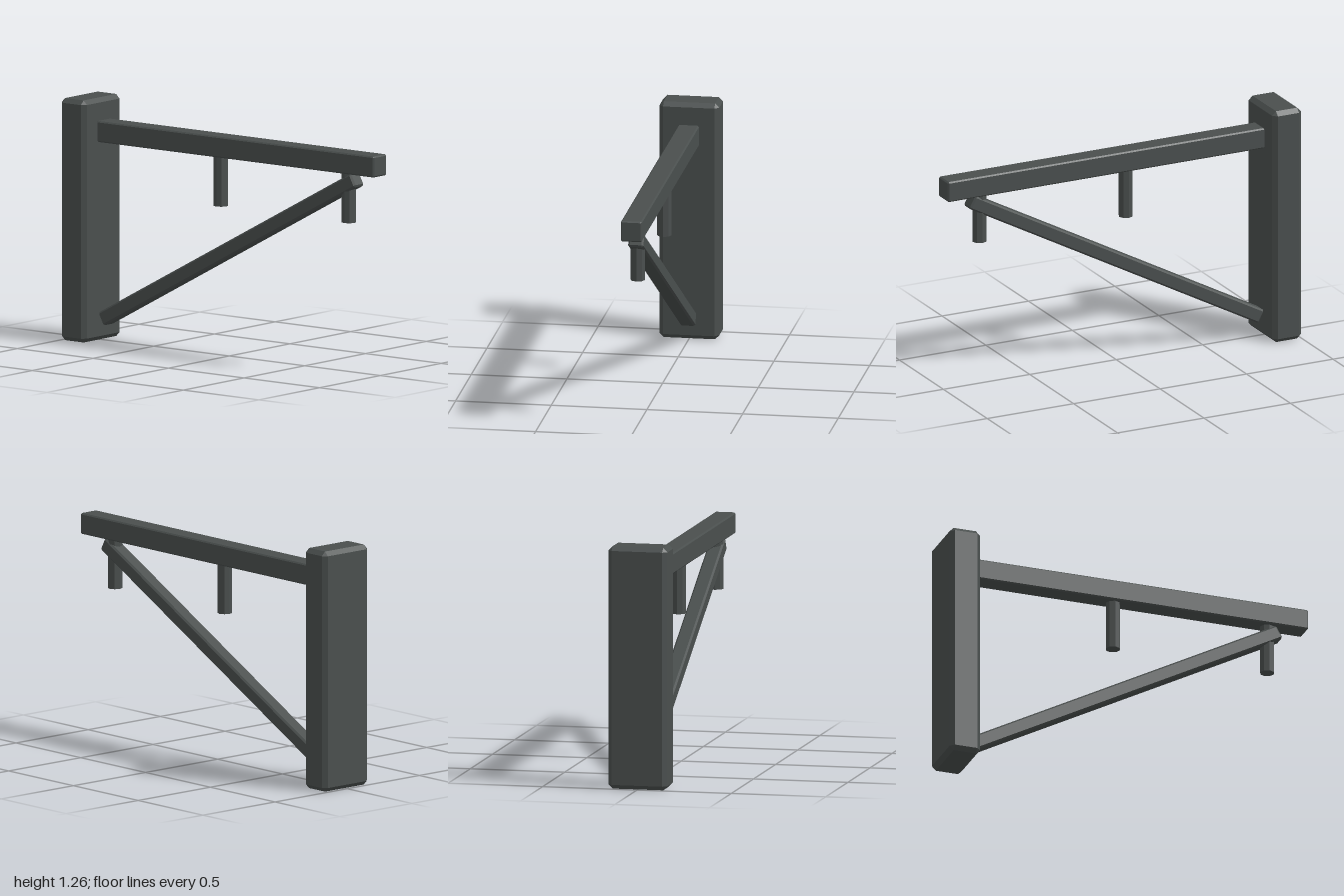
import * as THREE from 'three';
import { ConvexGeometry } from 'three/addons/geometries/ConvexGeometry.js';

// Box with every edge cut at 45 degrees
function chamferBox(w, h, d, c) {
  const points = [];
  for (const sx of [-1, 1]) for (const sy of [-1, 1]) for (const sz of [-1, 1]) {
    const x = w / 2, y = h / 2, z = d / 2;
    points.push(
      new THREE.Vector3(sx * x, sy * (y - c), sz * (z - c)),
      new THREE.Vector3(sx * (x - c), sy * y, sz * (z - c)),
      new THREE.Vector3(sx * (x - c), sy * (y - c), sz * z),
    );
  }
  return new ConvexGeometry(points);
}

export function createModel() {
  const model = new THREE.Group();
  model.name = 'wallBracket';
  const iron = new THREE.MeshStandardMaterial({ color: 0x4a4f4e, flatShading: true });
  iron.name = 'darkIron';

  const add = (name, geometry, x, y, z) => {
    const mesh = new THREE.Mesh(geometry, iron);
    mesh.name = name;
    mesh.position.set(x, y, z);
    model.add(mesh);
    return mesh;
  };

  // Upright plate fixed to the wall
  add('wallPlate', chamferBox(0.312, 1.265, 0.166, 0.022), 0, 0.6325, -0.917);

  // Horizontal arm
  add('arm', chamferBox(0.11, 0.11, 1.834, 0.007), 0, 1.095, 0.083);

  // Diagonal brace rising toward the front
  const brace = add('brace', chamferBox(0.08, 0.075, 1.896, 0.009), 0, 0.561, 0.013);
  brace.rotation.x = -THREE.MathUtils.degToRad(28.25);

  // Hanging pegs under the arm
  for (const [name, z] of [['frontPeg', 0.792], ['middlePeg', -0.055]]) {
    add(name, new THREE.CylinderGeometry(0.038, 0.038, 0.28, 8), 0, 0.92, z);
  }
  return model;
}
